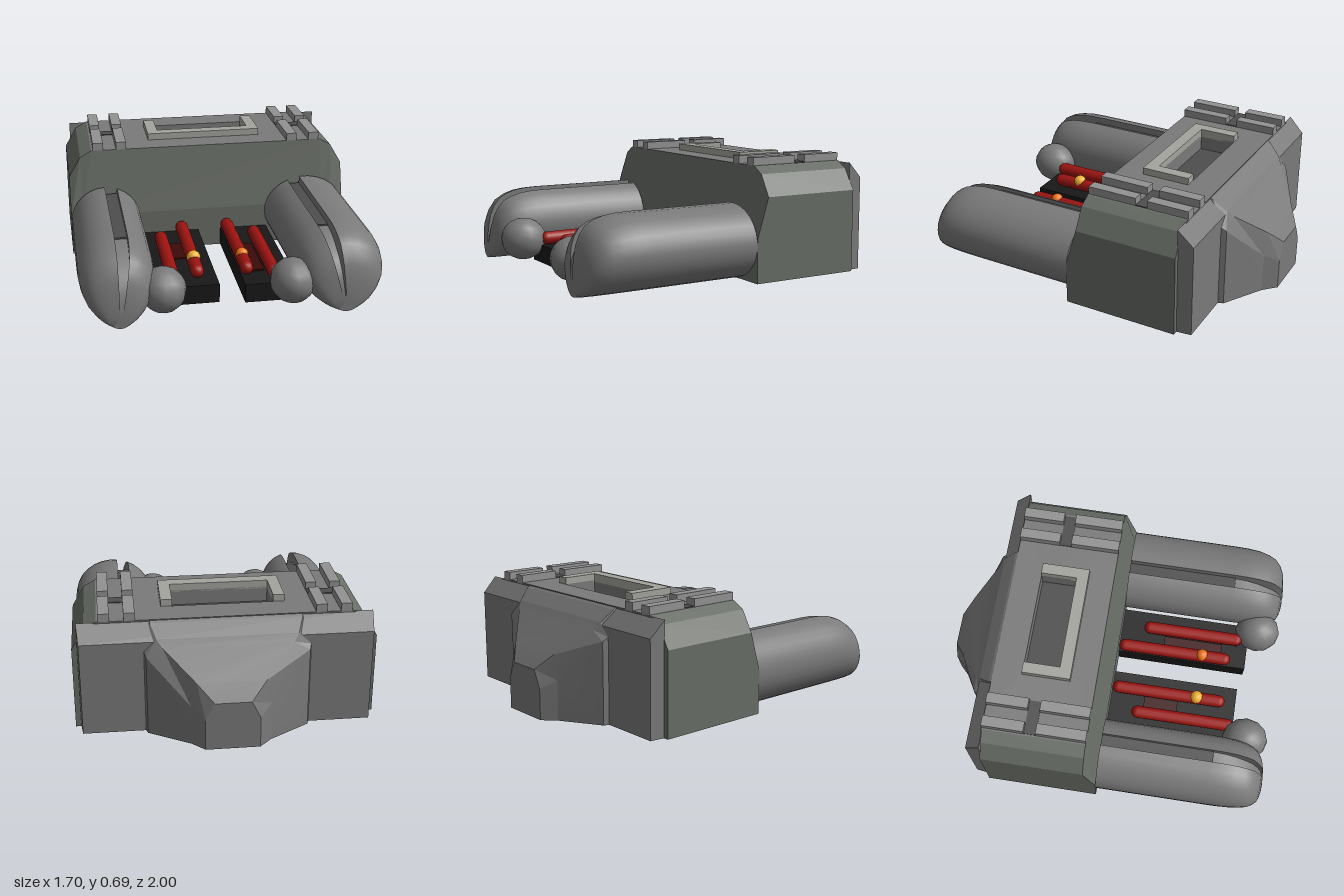
import * as THREE from 'three';
import { toCreasedNormals } from 'three/addons/utils/BufferGeometryUtils.js';

const mat = (color) => new THREE.MeshStandardMaterial({ color });
const grey = mat(0x7a7a7a), shellGrey = mat(0x686d66), railGrey = mat(0x929292), rimGrey = mat(0xa4a49e);
const dark = mat(0x4e4e4e), black = mat(0x181818), red = mat(0x9c1410), deepRed = mat(0x3c0a0a);
const gold = mat(0xf0b030), orange = mat(0xf07818);

// Skin a list of [z, points] sections (back to front, points counter-clockwise) and cap both ends
function loft(sections, crease, skip = () => false) {
  const pos = [];
  const rings = sections.map(([z, pts]) => pts.map(([x, y]) => [x, y, z]));
  const tri = (...corners) => corners.forEach((c) => pos.push(...c));
  const n = rings[0].length;
  const centre = (r) => [0, 1, 2].map((k) => r.reduce((s, p) => s + p[k], 0) / n);
  const last = rings.length - 1, c0 = centre(rings[0]), c1 = centre(rings[last]);
  for (let j = 0; j < n; j++) {
    const k = (j + 1) % n;
    for (let i = 0; i < last; i++) {
      if (skip(i, j)) continue;
      const a = rings[i][j], b = rings[i][k], c = rings[i + 1][k], d = rings[i + 1][j];
      tri(a, b, c);
      tri(a, c, d);
    }
    tri(c0, rings[0][k], rings[0][j]);
    tri(c1, rings[last][j], rings[last][k]);
  }
  const g = new THREE.BufferGeometry();
  g.setAttribute('position', new THREE.Float32BufferAttribute(pos, 3));
  return toCreasedNormals(g, crease);
}

// Half section from bottom to top, mirrored to a full loop
const mirrored = (half) => [...half, ...half.slice().reverse().map(([x, y]) => [-x, y])];

// Rounded arm with a slot along its top that deepens over the nose
function armGeometry(rx, slot) {
  const ry = 0.213, w = 0.037, steps = 26;
  const start = Math.acos((slot - w) / rx), end = 2 * Math.PI + Math.acos((slot + w) / rx);
  const section = (s, floor) => {
    const pts = [];
    for (let i = 0; i <= steps; i++) {
      const a = start + ((end - start) * i) / steps;
      pts.push([rx * Math.cos(a) * s, (ry + ry * Math.sin(a)) * s]);
    }
    pts.push([(slot + w) * s, 2 * ry * floor * s], [(slot - w) * s, 2 * ry * floor * s]);
    return pts;
  };
  // z, scale, slot floor height
  const stations = [[0, 1, 0.88], [0.66, 1, 0.88], [0.74, 0.993, 0.86], [0.81, 0.97, 0.82], [0.87, 0.925, 0.77],
    [0.915, 0.865, 0.74], [0.95, 0.76, 0.71], [0.975, 0.63, 0.69], [0.99, 0.46, 0.67], [1, 0.28, 0.65]];
  return loft(stations.map(([z, s, f]) => [z, section(s, f)]), 0.6);
}

export function createModel() {
  const model = new THREE.Group();
  const add = (name, geometry, material, x = 0, y = 0, z = 0) => {
    const mesh = new THREE.Mesh(geometry, material);
    mesh.name = name;
    mesh.position.set(x, y, z);
    model.add(mesh);
    return mesh;
  };
  // Box given by its limits
  const box = (name, material, x0, x1, y0, y1, z0, z1) =>
    add(name, new THREE.BoxGeometry(x1 - x0, y1 - y0, z1 - z0), material, (x0 + x1) / 2, (y0 + y1) / 2, (z0 + z1) / 2);

  // Main hull with chamfered shoulders and a leaning upper front; edge 3, its top, is left to the deck
  const hull = mirrored([[0.85, 0], [0.85, 0.48], [0.78, 0.6], [0.71, 0.64]]);
  const front = hull.map(([x, y]) => [x, Math.min(y, 0.25)]);
  add('hull', loft([[-0.675, hull], [-0.07, hull], [0, front]], 0.1, (i, j) => i === 0 && j === 3), shellGrey);

  // Deck plate with a sunken hatch
  const rect = (Type, x, y0, y1) => new Type([[-x, y0], [x, y0], [x, y1], [-x, y1]].map((p) => new THREE.Vector2(...p)));
  const plate = rect(THREE.Shape, 0.71, 0.07, 0.675);
  plate.holes.push(rect(THREE.Path, 0.285, 0.29, 0.505));
  const deck = add('deck', new THREE.ExtrudeGeometry(plate, { depth: 0.1, bevelEnabled: false }), grey, 0, 0.54, 0);
  deck.rotation.x = -Math.PI / 2;
  box('hatchFloor', dark, -0.3, 0.3, 0.52, 0.55, -0.52, -0.28);

  // Raised rim on three sides of the hatch
  box('hatchFrontRim', rimGrey, -0.35, 0.35, 0.63, 0.68, -0.29, -0.22);
  for (const s of [-1, 1]) {
    const cx = s * 0.3175;
    box('hatchSideRim', rimGrey, cx - 0.0325, cx + 0.0325, 0.63, 0.68, -0.505, -0.29);
    // Pairs of split deck rails with a dark strip across the gap
    for (const rx of [0.53, 0.67]) {
      for (const [z0, z1] of [[-0.675, -0.43], [-0.36, -0.07]]) {
        box('deckRail', railGrey, s * rx - 0.031, s * rx + 0.031, 0.63, 0.685, z0, z1);
      }
    }
    box('deckStrip', dark, s * 0.6 - 0.1, s * 0.6 + 0.1, 0.63, 0.645, -0.43, -0.36);
  }

  // Rear slab and tapering tail
  const slab = (x, y) => mirrored([[x, 0], [x, y]]);
  add('rearSlab', loft([[-0.76, slab(0.81, 0.545)], [-0.67, slab(0.82, 0.635)]], 0.1), grey);
  // z, side x, side top y, roof x, roof y
  const tail = [[-1, 0.15, 0.18, 0.1, 0.28], [-0.93, 0.22, 0.23, 0.19, 0.37], [-0.79, 0.45, 0.47, 0.36, 0.52],
    [-0.76, 0.46, 0.49, 0.39, 0.56], [-0.69, 0.46, 0.55, 0.42, 0.625], [-0.67, 0.46, 0.55, 0.42, 0.638]];
  add('tail', loft(tail.map(([z, w, ys, tw, yt]) => [z, mirrored([[w, 0], [w, ys], [tw, yt]])]), 0.15), grey);

  // Arms, the dark strips in their slots and the knobs at their tips
  add('rightArm', armGeometry(0.21, 0.035), grey, -0.64);
  add('leftArm', armGeometry(0.25, -0.07), grey, 0.6);
  for (const x of [-0.605, 0.53]) box('armStrip', dark, x - 0.037, x + 0.037, 0.35, 0.382, 0, 0.67);
  for (const x of [-0.395, 0.325]) {
    add('armKnob', new THREE.SphereGeometry(0.127, 12, 10), grey, x, 0.145, 0.86).scale.z = 1.1;
  }

  // Base rails with inset panels
  box('rightBaseRail', black, -0.43, -0.07, 0, 0.11, -0.01, 0.78);
  box('leftBaseRail', black, 0.07, 0.36, 0, 0.11, -0.01, 0.81);
  box('rightPanel', deepRed, -0.29, -0.21, 0.1, 0.12, 0.21, 0.42);
  box('leftPanel', deepRed, 0.14, 0.21, 0.1, 0.12, 0.28, 0.65);

  // Rods with round ends, and the beads on the inner pair
  for (const [x, z0, z1] of [[-0.325, 0.14, 0.78], [-0.18, 0, 0.71], [0.103, 0, 0.71], [0.245, 0.14, 0.77]]) {
    const r = 0.039;
    add('rod', new THREE.CapsuleGeometry(r, z1 - z0 - 2 * r, 4, 12), red, x, 0.148, (z0 + z1) / 2).rotation.x = Math.PI / 2;
  }
  add('rightBead', new THREE.SphereGeometry(0.041, 10, 8), gold, -0.18, 0.169, 0.53);
  add('leftBead', new THREE.SphereGeometry(0.038, 10, 8), orange, 0.103, 0.169, 0.53);

  return model;
}
